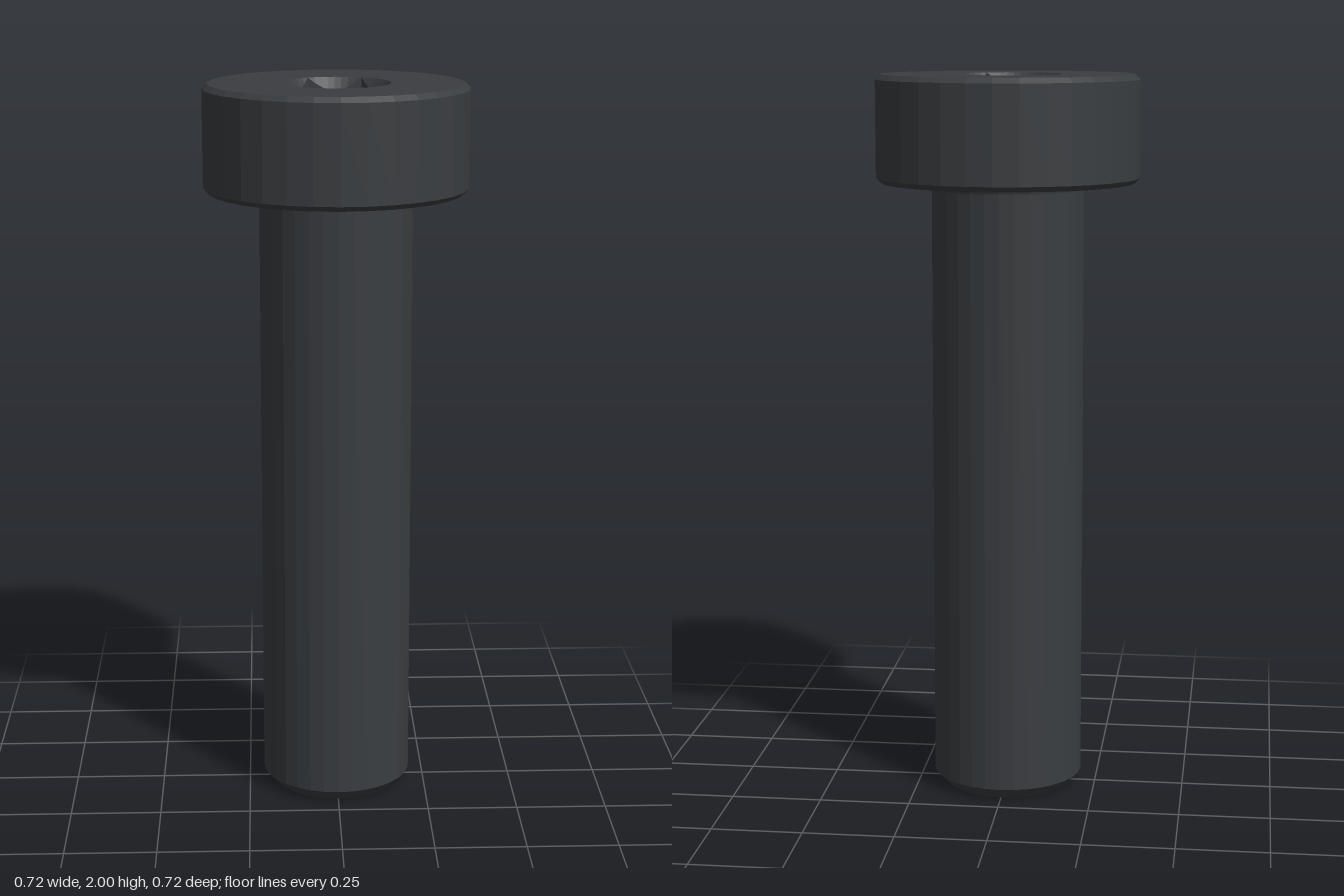
import * as THREE from 'three';

const SIDES = 32;          // facets around head and shank
const RIM = 48;            // facets around the socket mouth
const SOCKET_R = 0.147;    // hexagon corner radius
const TOP = 2, FLOOR = 1.765;

const steel = new THREE.MeshStandardMaterial({ color: 0x3a3d40, flatShading: true });

function add(group, name, geometry) {
  const mesh = new THREE.Mesh(geometry, steel);
  mesh.name = name;
  group.add(mesh);
}

function lathe(profile) {
  return new THREE.LatheGeometry(profile.map(([r, y]) => new THREE.Vector2(r, y)), SIDES);
}

function circle(radius, count) {
  return Array.from({ length: count }, (_, i) => {
    const a = (i / count) * Math.PI * 2;
    return new THREE.Vector2(radius * Math.cos(a), radius * Math.sin(a));
  });
}

// Hexagon with corners on the x axis, as a radius for each angle
function hexRadius(a) {
  const sector = Math.PI / 3;
  return SOCKET_R * Math.cos(sector / 2) / Math.cos((a % sector) - sector / 2);
}

// Rings from the conical lead-in down the hexagonal walls to the floor centre
function socketGeometry() {
  const rings = [
    () => [SOCKET_R, TOP],
    (a) => [hexRadius(a), TOP - (SOCKET_R - hexRadius(a)) * Math.sqrt(3)],
    (a) => [hexRadius(a), FLOOR],
    () => [0, FLOOR],
  ];
  const point = (ring, i) => {
    const a = ((i % RIM) / RIM) * Math.PI * 2;
    const [r, y] = rings[ring](a);
    return [r * Math.cos(a), y, r * Math.sin(a)];
  };
  const positions = [];
  for (let k = 0; k < rings.length - 1; k++) {
    for (let i = 0; i < RIM; i++) {
      const o0 = point(k, i), o1 = point(k, i + 1);
      const n0 = point(k + 1, i), n1 = point(k + 1, i + 1);
      positions.push(...o0, ...n0, ...o1);
      if (k < rings.length - 2) positions.push(...o1, ...n0, ...n1);
    }
  }
  const geometry = new THREE.BufferGeometry();
  geometry.setAttribute('position', new THREE.Float32BufferAttribute(positions, 3));
  geometry.computeVertexNormals();
  return geometry;
}

export function createModel() {
  const screw = new THREE.Group();
  screw.name = 'socketHeadScrew';

  // Shank with chamfered tip and a small fillet under the head
  add(screw, 'shank', lathe([
    [0, 0], [0.175, 0], [0.209, 0.035], [0.209, 1.69], [0.212, 1.702], [0.222, 1.708],
  ]));

  // Head with chamfered lower and upper edges
  add(screw, 'head', lathe([
    [0.222, 1.708], [0.347, 1.708], [0.361, 1.722], [0.361, 1.986], [0.347, TOP],
  ]));

  // Flat top face around the socket mouth
  const face = new THREE.Shape(circle(0.347, SIDES));
  face.holes.push(new THREE.Path(circle(SOCKET_R, RIM)));
  add(screw, 'headTop', new THREE.ShapeGeometry(face).rotateX(-Math.PI / 2).translate(0, TOP, 0));

  add(screw, 'hexSocket', socketGeometry());
  return screw;
}
